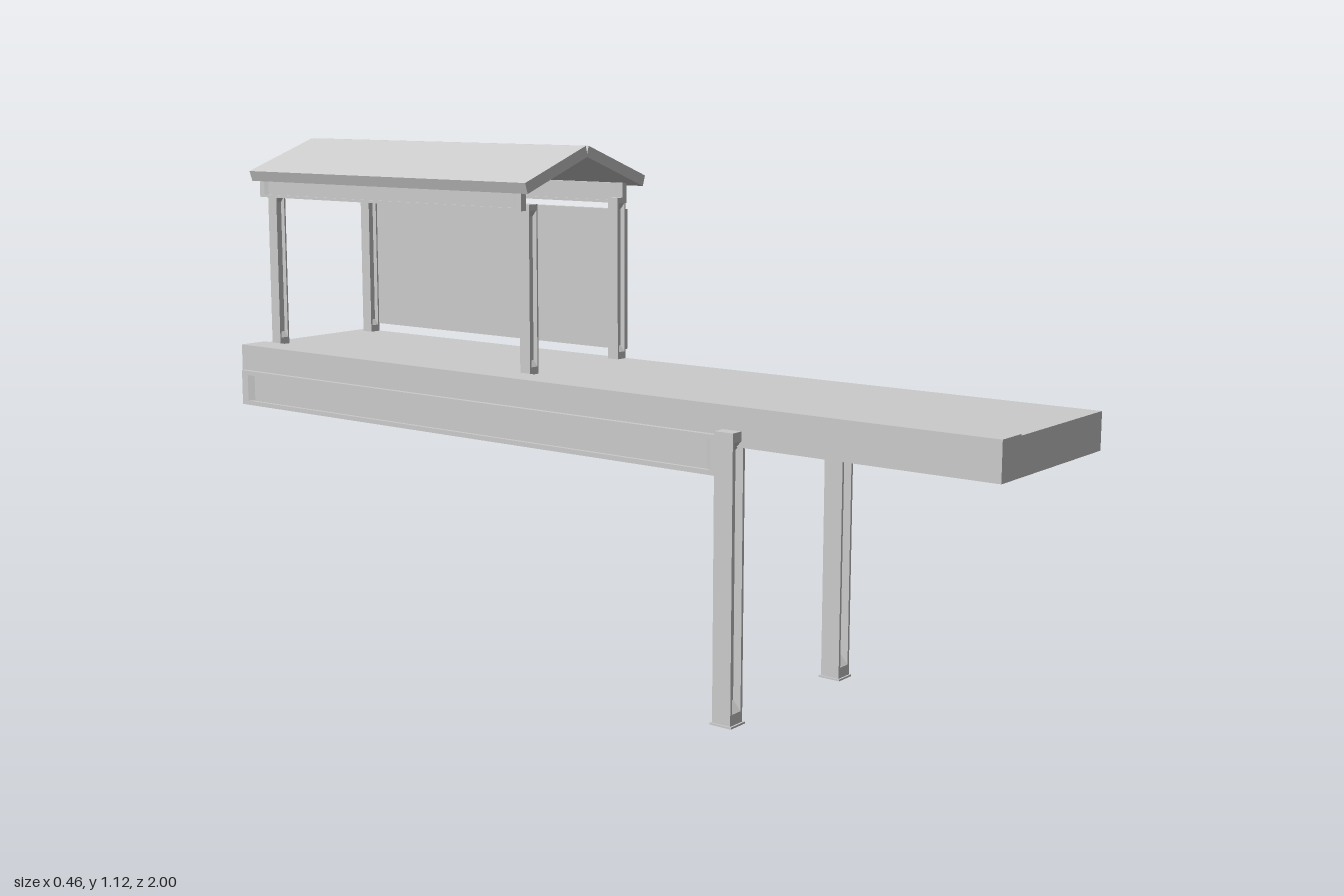
import * as THREE from 'three';

const material = new THREE.MeshStandardMaterial({ color: 0xcccccc, flatShading: true });

function add(parent, name, geometry, x = 0, y = 0, z = 0) {
  const mesh = new THREE.Mesh(geometry, material);
  mesh.name = name;
  mesh.position.set(x, y, z);
  parent.add(mesh);
  return mesh;
}

// Box given by its minimum and maximum corners
function block(parent, name, [x0, y0, z0], [x1, y1, z1]) {
  return add(parent, name, new THREE.BoxGeometry(x1 - x0, y1 - y0, z1 - z0),
    (x0 + x1) / 2, (y0 + y1) / 2, (z0 + z1) / 2);
}

// Closed outline in the xy plane, extruded along z
function prism(points, depth) {
  const shape = new THREE.Shape(points.map(([x, y]) => new THREE.Vector2(x, y)));
  return new THREE.ExtrudeGeometry(shape, { depth, bevelEnabled: false });
}

// H-section member standing on its origin: flanges on the x sides,
// a recessed web between them, solid ends with sloped transitions.
function member(name, { length, width, depth, flange, web, foot, head, slope }) {
  const group = new THREE.Group();
  group.name = name;
  for (const side of [-1, 1]) {
    add(group, 'flange', new THREE.BoxGeometry(flange, length, depth),
      side * (width - flange) / 2, length / 2, 0);
  }
  const d = depth / 2, w = web / 2, top = length - head;
  const outline = [
    [-d, 0], [d, 0], [d, foot], [w, foot + slope], [w, top - slope], [d, top], [d, length],
    [-d, length], [-d, top], [-w, top - slope], [-w, foot + slope], [-d, foot],
  ];
  const span = width - 2 * flange;
  const core = prism(outline, span);
  core.translate(0, 0, -span / 2);
  core.rotateY(Math.PI / 2);
  add(group, 'web', core);
  return group;
}

// Lays a member down along +z with its flanges at top and bottom
function layDown(group) {
  group.quaternion.setFromRotationMatrix(new THREE.Matrix4().makeBasis(
    new THREE.Vector3(0, 1, 0), new THREE.Vector3(0, 0, 1), new THREE.Vector3(1, 0, 0)));
  return group;
}

export function createModel() {
  const model = new THREE.Group();
  model.name = 'elevatedPlatform';

  // Deck slab with a slightly raised strip along the open edge
  block(model, 'deck', [-0.197, 0.558, -1], [0.206, 0.635, 1]);
  block(model, 'edgeStrip', [-0.197, 0.635, -1], [-0.127, 0.638, 1]);

  // Supporting columns with base plates
  for (const x of [-0.205, 0.193]) {
    const column = member('column', {
      length: 0.59, width: 0.041, depth: 0.044, flange: 0.006, web: 0.008,
      foot: 0.027, head: 0.019, slope: 0.02,
    });
    column.position.set(x, 0, 0.422);
    model.add(column);
    block(model, 'basePlate', [x - 0.024, 0, 0.396], [x + 0.024, 0.004, 0.448]);
  }

  // Long girders below the deck edges
  for (const x of [-0.195, 0.203]) {
    const girder = layDown(member('girder', {
      length: 1.39, width: 0.081, depth: 0.026, flange: 0.01, web: 0.01,
      foot: 0.02, head: 0.02, slope: 0.015,
    }));
    girder.position.set(x, 0.538, -0.99);
    model.add(girder);
  }

  // Shelter posts
  for (const x of [-0.111, 0.19]) {
    for (const z of [-0.171, -0.959]) {
      const post = member('shelterPost', {
        length: 0.363, width: 0.028, depth: 0.028, flange: 0.004, web: 0.006,
        foot: 0.016, head: 0.013, slope: 0.013,
      });
      post.position.set(x, 0.635, z);
      model.add(post);
    }
  }

  // Back wall panel
  block(model, 'wallPanel', [0.205, 0.654, -0.972], [0.22, 0.971, -0.164]);

  // Beams carrying the roof
  for (const x of [-0.142, 0.2]) {
    const beam = layDown(member('roofBeam', {
      length: 0.816, width: 0.045, depth: 0.015, flange: 0.006, web: 0.006,
      foot: 0.015, head: 0.015, slope: 0.01,
    }));
    beam.position.set(x, 1.008, -0.973);
    model.add(beam);
  }

  // Two pitched roof panels meeting at the ridge
  const ridge = 0.0245;
  const slab = [[0.195, 1.024], [0.203, 1.047], [0.005, 1.118], [-0.002, 1.095]];
  for (const side of [1, -1]) {
    const points = slab.map(([x, y]) => [ridge + side * x, y]);
    add(model, side > 0 ? 'leftRoofPanel' : 'rightRoofPanel', prism(points, 0.855), 0, 0, -0.975);
  }

  return model;
}
